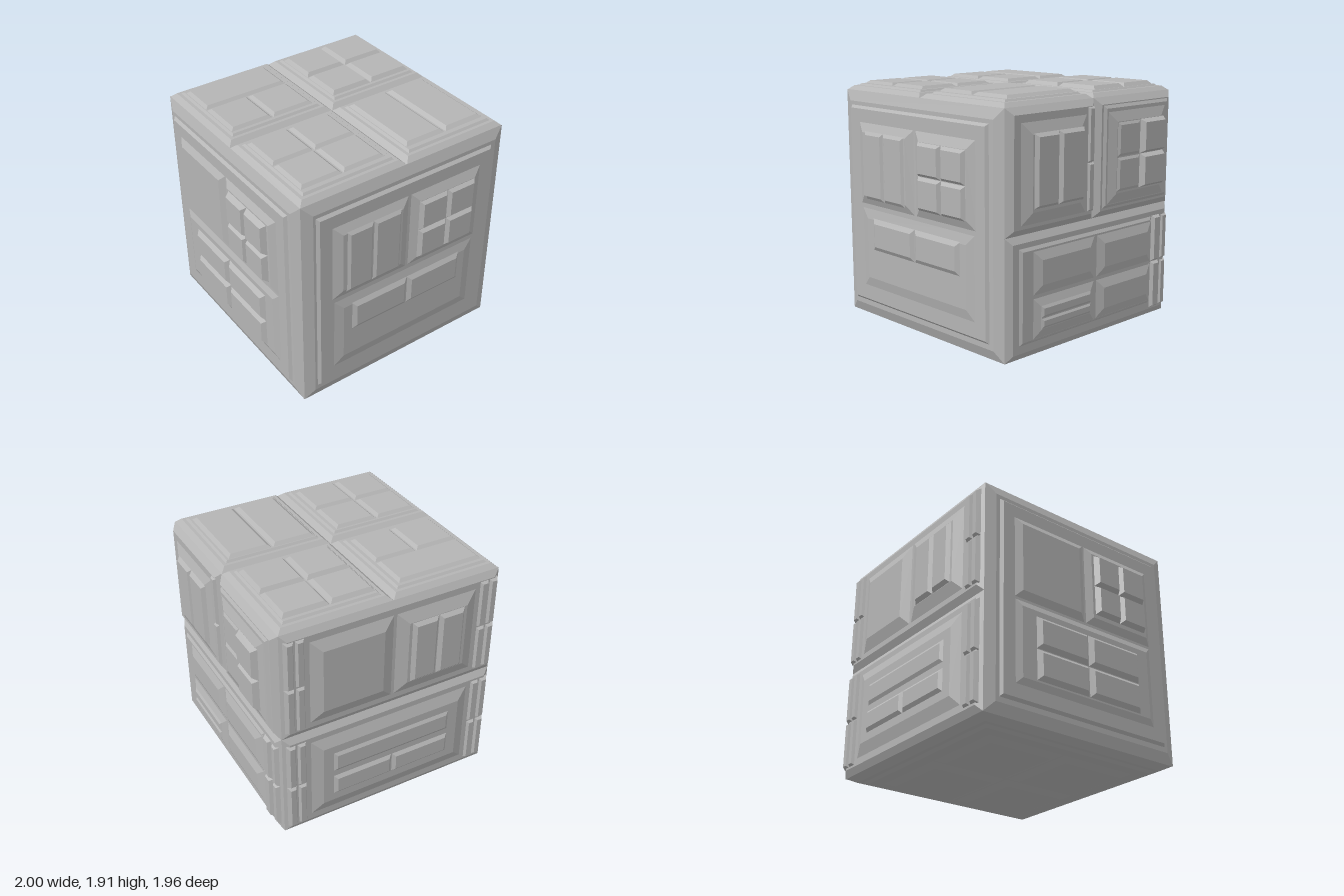
import * as THREE from 'three';

const MID = 0.955; // height of the cube centre

// Each side maps (u, v, outward height) to a point; flip keeps faces outward
const SIDES = {
  front: { at: (u, v, h) => [u, v, h], flip: false },
  back: { at: (u, v, h) => [u, v, -h], flip: true },
  right: { at: (u, v, h) => [-h, v, u], flip: false },
  left: { at: (u, v, h) => [h, v, u], flip: true },
  top: { at: (u, v, h) => [u, MID + h, v], flip: true },
  bottom: { at: (u, v, h) => [u, MID - h, v], flip: false },
};

// Grid of bevelled panels: us and vs are the dividing lines
function panels(side, us, vs, h0, h1, bevel, out) {
  const { at, flip } = SIDES[side];
  for (let i = 0; i < us.length - 1; i++) for (let j = 0; j < vs.length - 1; j++) {
    const [a, b, c, d] = [us[i], us[i + 1], vs[j], vs[j + 1]];
    const e = Math.min(bevel, (b - a) * 0.4, (d - c) * 0.4);
    const ring = (k, h) => [[a + k, c + k], [b - k, c + k], [b - k, d - k], [a + k, d - k]]
      .map(([u, v]) => at(u, v, h));
    const lo = ring(0, h0), hi = ring(e, h1);
    const quads = [hi];
    for (let k = 0; k < 4; k++) {
      const n = (k + 1) % 4;
      quads.push([lo[k], lo[n], hi[n], hi[k]]);
    }
    for (const q of quads) {
      const order = flip ? [0, 2, 1, 0, 3, 2] : [0, 1, 2, 0, 2, 3];
      for (const k of order) out.push(...q[k]);
    }
  }
}

// Layers per side: [u lines, v lines, base height, top height, bevel]
const LAYERS = {
  front: [
    [[-0.88, 0.88], [0.07, 1.84], 0.88, 0.91, 0.08],
    [[-0.79, 0.77], [0.18, 1.74], 0.9, 0.93, 0.03],
    [[-0.67, 0.66], [0.3, 0.97], 0.925, 0.945, 0.1],
    [[-0.67, 0, 0.66], [0.97, 1.62], 0.925, 0.96, 0.08],
    [[-0.56, -0.335, -0.09], [1.03, 1.55], 0.957, 0.975, 0.025],
    [[0.07, 0.325, 0.58], [1.04, 1.29, 1.54], 0.957, 0.985, 0.025],
    [[-0.5, 0, 0.5], [0.63, 0.88], 0.943, 0.965, 0.035],
  ],
  right: [
    [[-0.88, 0.88], [0.07, 1.84], 0.88, 0.91, 0.08],
    [[-0.78, 0.78], [0.18, 1.74], 0.9, 0.93, 0.03],
    [[-0.66, 0.66], [0.3, 0.96], 0.925, 0.95, 0.06],
    [[-0.66, 0, 0.66], [0.96, 1.62], 0.925, 0.96, 0.06],
    [[0.08, 0.325, 0.58], [1.05, 1.29, 1.55], 0.957, 1.0, 0.025],
    [[-0.48, 0, 0.5], [0.37, 0.61, 0.86], 0.947, 0.98, 0.035],
  ],
  left: [
    // two upper blocks over one wide lower block
    [[-0.88, 0, 0.88], [0.96, 1.84], 0.88, 0.92, 0.05],
    [[-0.88, 0.88], [0.07, 0.96], 0.88, 0.91, 0.05],
    [[0.1, 0.78], [1.02, 1.75], 0.915, 0.95, 0.1],
    [[0.17, 0.43, 0.67], [1.14, 1.66], 0.947, 0.975, 0.025],
    [[0.03, 0.1], [1.03, 1.39, 1.79], 0.915, 0.935, 0.015],
    [[-0.82, -0.06], [1.02, 1.79], 0.915, 0.935, 0.03],
    [[-0.77, -0.1], [1.05, 1.74], 0.933, 0.96, 0.08],
    [[-0.72, -0.44], [1.14, 1.4, 1.66], 0.957, 1.0, 0.025],
    [[-0.44, -0.18], [1.14, 1.4, 1.66], 0.957, 0.972, 0.025],
    [[-0.67, 0.78], [0.17, 0.88], 0.905, 0.925, 0.03],
    [[-0.66, 0, 0.66], [0.19, 0.51, 0.85], 0.92, 0.95, 0.08],
    [[0.07, 0.59], [0.27, 0.35, 0.44], 0.947, 0.96, 0.02],
    [[-0.77, -0.67], [0.13, 0.51, 0.88], 0.905, 0.935, 0.02],
    [[-0.86, -0.78], [0.13, 0.51, 0.88], 0.895, 0.925, 0.02],
  ],
  back: [
    [[-0.88, 0.88], [0.07, 0.96], 0.88, 0.91, 0.05],
    [[-0.88, 0.88], [0.96, 1.84], 0.88, 0.91, 0.05],
    [[-0.68, 0, 0.68], [1.04, 1.75], 0.905, 0.945, 0.1],
    [[-0.56, -0.34, -0.12], [1.14, 1.65], 0.942, 0.97, 0.03],
    [[-0.68, 0.68], [0.16, 0.88], 0.905, 0.94, 0.1],
    [[-0.5, 0, 0.5], [0.32, 0.5], 0.937, 0.96, 0.03],
    [[-0.5, 0.5], [0.54, 0.72], 0.937, 0.955, 0.03],
    // side rails, broken halfway
    ...[-0.86, -0.78, 0.7, 0.78].flatMap((u) => [
      [[u, u + 0.08], [0.13, 0.51, 0.9], 0.9, 0.93, 0.02],
      [[u, u + 0.08], [1.02, 1.4, 1.79], 0.9, 0.93, 0.02],
    ]),
  ],
  top: [
    [[-0.88, 0, 0.88], [-0.88, 0, 0.88], 0.88, 0.915, 0.04],
    // inner step of the four blocks
    ...[[-0.82, -0.06], [0.06, 0.82]].flatMap((u) =>
      [[-0.82, -0.06], [0.06, 0.82]].map((v) => [u, v, 0.91, 0.93, 0.02])),
    [[-0.8, -0.1], [-0.78, -0.465], 0.925, 0.95, 0.03],
    [[-0.8, -0.45, -0.1], [-0.465, -0.1], 0.925, 0.95, 0.03],
    [[0.08, 0.435, 0.8], [-0.78, -0.44, -0.1], 0.925, 0.957, 0.03],
    [[-0.8, -0.455, -0.1], [0.09, 0.43, 0.77], 0.925, 0.95, 0.03],
    [[0.08, 0.435, 0.79], [0.08, 0.77], 0.925, 0.952, 0.035],
  ],
  bottom: [
    [[-0.88, 0.88], [-0.88, 0.88], 0.88, 0.915, 0.07],
    [[-0.79, 0.79], [-0.79, 0.79], 0.91, 0.93, 0.04],
    [[-0.67, 0, 0.67], [-0.67, 0, 0.67], 0.925, 0.955, 0.07],
  ],
};

export function createModel() {
  const model = new THREE.Group();
  model.name = 'panelledCube';
  const grey = new THREE.MeshStandardMaterial({ color: 0xb4b4b4 });
  grey.name = 'grey';

  // Solid core
  const core = new THREE.Mesh(new THREE.BoxGeometry(1.76, 1.76, 1.76), grey);
  core.position.y = MID;
  core.name = 'core';
  model.add(core);

  // Layered panels; the sides named left and right follow the model's own left (+x)
  for (const [side, layers] of Object.entries(LAYERS)) {
    const out = [];
    for (const layer of layers) panels(side, ...layer, out);
    const geometry = new THREE.BufferGeometry();
    geometry.setAttribute('position', new THREE.Float32BufferAttribute(out, 3));
    geometry.computeVertexNormals();
    const mesh = new THREE.Mesh(geometry, grey);
    mesh.name = side + 'Panels';
    model.add(mesh);
  }
  return model;
}
